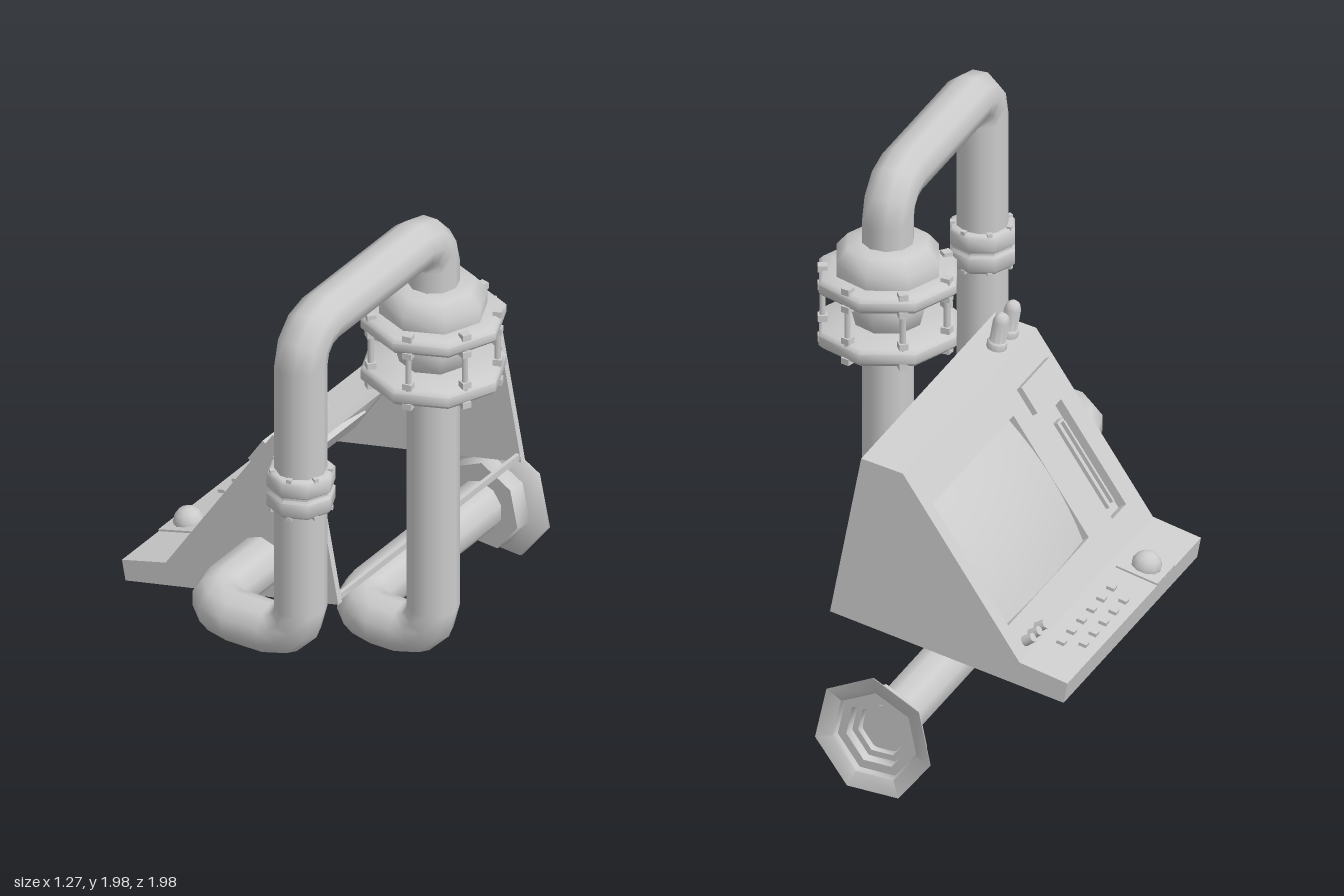
import * as THREE from 'three';
import { toCreasedNormals } from 'three/addons/utils/BufferGeometryUtils.js';

const grey = new THREE.MeshStandardMaterial({ color: 0xcccccc });
const thin = new THREE.MeshStandardMaterial({ color: 0xcccccc, side: THREE.DoubleSide });
const V = (x, y, z) => new THREE.Vector3(x, y, z);

function add(parent, name, geo, x = 0, y = 0, z = 0, mat = grey) {
  const mesh = new THREE.Mesh(geo, mat);
  mesh.name = name;
  mesh.position.set(x, y, z);
  parent.add(mesh);
  return mesh;
}

const box = (w, h, d) => new THREE.BoxGeometry(w, h, d);

// Turned part from [radius, height] pairs, bottom to top
function turned(profile, sides) {
  const pts = profile.map(([r, y]) => new THREE.Vector2(r, y));
  return toCreasedNormals(new THREE.LatheGeometry(pts, sides), 1.0);
}

// Straight runs joined by short rounded elbows, sampled only where the pipe bends
class PipePath extends THREE.Curve {
  constructor(corners, bend, steps) {
    super();
    this.pts = [];
    this.tans = [];
    const dir = i => corners[i + 1].clone().sub(corners[i]).normalize();
    const last = corners.length - 1;
    this.push(corners[0], dir(0));
    for (let i = 1; i < last; i++) {
      const a = dir(i - 1), b = dir(i);
      for (let k = 0; k <= steps; k++) {
        const t = (k / steps) * Math.PI / 2;
        const p = corners[i].clone()
          .addScaledVector(a, bend * (Math.sin(t) - 1))
          .addScaledVector(b, bend * (1 - Math.cos(t)));
        this.push(p, a.clone().multiplyScalar(Math.cos(t)).addScaledVector(b, Math.sin(t)));
      }
    }
    this.push(corners[last], dir(last - 1));
  }
  push(p, t) { this.pts.push(p.clone()); this.tans.push(t.clone().normalize()); }
  at(list, t, out) { return out.copy(list[Math.round(t * (list.length - 1))]); }
  getPoint(t, out = V(0, 0, 0)) { return this.at(this.pts, t, out); }
  getPointAt(t, out = V(0, 0, 0)) { return this.at(this.pts, t, out); }
  getTangentAt(t, out = V(0, 0, 0)) { return this.at(this.tans, t, out); }
}

const Z0 = -0.73, Z1 = 0.49; // console ends

// Plate from profile point a to b; local x runs a to b, local y points outward
function deck(parent, name, a, b, thickness, holes = []) {
  const group = new THREE.Group();
  group.name = name;
  group.position.set(a[0], a[1], 0);
  group.rotation.z = Math.atan2(b[1] - a[1], b[0] - a[0]);
  const rect = (S, x0, x1, z0, z1) => new S().moveTo(x0, z0).lineTo(x1, z0).lineTo(x1, z1).lineTo(x0, z1).closePath();
  const shape = rect(THREE.Shape, 0, Math.hypot(b[0] - a[0], b[1] - a[1]), Z0 + 0.005, Z1 - 0.005);
  for (const h of holes) shape.holes.push(rect(THREE.Path, ...h));
  const geo = new THREE.ExtrudeGeometry(shape, { depth: thickness, bevelEnabled: false });
  add(group, name + 'Plate', geo.rotateX(Math.PI / 2));
  parent.add(group);
  return group;
}

function buildConsole() {
  const console_ = new THREE.Group();
  console_.name = 'console';
  const foot = [-0.62, 0.39], lip = [-0.635, 0.47], knee = [-0.45, 0.517];
  const brow = [0, 1.182], top = [0.16, 1.21], heel = [0.28, 0.575];

  // Side walls; the back and the underside stay open
  const side = new THREE.Shape([foot, heel, top, brow, knee, lip].map(p => new THREE.Vector2(...p)));
  const wall = new THREE.ExtrudeGeometry(side, { depth: 0.025, bevelEnabled: false });
  add(console_, 'sideWall', wall, 0, 0, Z0);
  add(console_, 'sideWall', wall, 0, 0, Z1 - 0.025);
  add(console_, 'backRail', box(0.015, 0.025, Z1 - Z0 - 0.02), 0.266, 0.594, (Z0 + Z1) / 2);

  deck(console_, 'frontLip', foot, lip, 0.02);

  // Key deck with two staggered rows and a trackball
  const keys = deck(console_, 'keyDeck', lip, knee, 0.02);
  for (let i = 0; i < 5; i++) add(keys, 'key', box(0.03, 0.025, 0.03), 0.055, 0, -0.457 + i * 0.091);
  for (let i = 0; i < 6; i++) add(keys, 'key', box(0.03, 0.025, 0.03), 0.123, 0, -0.503 + i * 0.091);
  add(keys, 'trackballBase', box(0.165, 0.035, 0.16), 0.083, -0.01, 0.17);
  add(keys, 'trackball', new THREE.SphereGeometry(0.057, 10, 7), 0.08, 0.008, 0.17);

  // Sloped face with screen opening and card slot
  const u0 = 0.125, u1 = 0.643, s0 = -0.667, s1 = 0.07;
  const face = deck(console_, 'screenFace', knee, brow, 0.035, [
    [u0, u1, s0, s1], [0.107, 0.553, 0.26, 0.385]]);
  const glass = new THREE.PlaneGeometry(u1 - u0, s1 - s0, 8, 8).rotateX(-Math.PI / 2);
  const p = glass.attributes.position;
  for (let i = 0; i < p.count; i++) {
    const a = p.getX(i) / ((u1 - u0) / 2), b = p.getZ(i) / ((s1 - s0) / 2);
    p.setY(i, 0.024 - 0.027 * a * a - 0.025 * b * b);
  }
  glass.computeVertexNormals();
  add(face, 'screenGlass', glass, (u0 + u1) / 2, 0, (s0 + s1) / 2, thin);
  add(face, 'slotFloor', box(0.446, 0.02, 0.135), 0.33, -0.045, 0.3225);
  add(face, 'slotRidge', box(0.36, 0.03, 0.05), 0.32, -0.025, 0.3225);
  add(face, 'slotBlade', box(0.34, 0.02, 0.012), 0.32, -0.005, 0.3225);
  add(face, 'displayBar', box(0.11, 0.045, 0.26), 0.645, 0, 0.305);
  for (let i = 0; i < 3; i++) {
    const button = new THREE.CylinderGeometry(0.018, 0.021, 0.05, 8);
    add(face, 'button', button, 0.04, 0.015, -0.63 + i * 0.057);
  }

  // Top with two capsule lamps
  const roof = deck(console_, 'roof', brow, top, 0.025);
  const lamp = turned([[0.037, 0], [0.037, 0.025], [0.03, 0.03], [0.03, 0.11],
    [0.024, 0.13], [0.012, 0.14], [0, 0.142]], 10);
  for (const z of [0.278, 0.383]) add(roof, 'lamp', lamp, 0.065, 0, z);
  return console_;
}

// Things spaced evenly around a vertical axis
function around(parent, name, count, radius, start, geo, y) {
  for (let i = 0; i < count; i++) {
    const a = start + (i / count) * Math.PI * 2;
    add(parent, name, geo, Math.cos(a) * radius, y, Math.sin(a) * radius).rotation.y = -a;
  }
}

function buildValve() {
  const valve = new THREE.Group();
  valve.name = 'valve';
  valve.position.set(0.365, 0, 0);
  add(valve, 'upperRing', turned([[0.09, 1.52], [0.25, 1.52], [0.265, 1.535], [0.265, 1.565],
    [0.25, 1.58], [0.197, 1.585], [0.197, 1.64], [0.155, 1.69], [0.09, 1.695]], 8));
  add(valve, 'lowerRing', turned([[0.09, 1.25], [0.125, 1.25], [0.125, 1.31], [0.25, 1.31],
    [0.265, 1.325], [0.265, 1.36], [0.25, 1.375], [0.09, 1.38]], 8));
  add(valve, 'core', new THREE.SphereGeometry(0.143, 8, 6), 0, 1.45, 0);
  const nut = box(0.034, 0.024, 0.034);
  const start = 0.49;
  around(valve, 'tieRod', 7, 0.232, start, new THREE.CylinderGeometry(0.012, 0.012, 0.28, 6), 1.45);
  for (const y of [1.308, 1.388, 1.515, 1.585]) around(valve, 'nut', 7, 0.232, start, nut, y);
  return valve;
}

function buildCoupling() {
  const coupling = new THREE.Group();
  coupling.name = 'coupling';
  coupling.position.set(0.365, 0, 0.865);
  add(coupling, 'couplingRings', turned([[0.09, 1.2], [0.115, 1.2], [0.125, 1.212], [0.125, 1.262],
    [0.113, 1.272], [0.113, 1.28], [0.125, 1.29], [0.125, 1.34], [0.115, 1.352], [0.09, 1.352]], 8));
  for (const y of [1.198, 1.353]) around(coupling, 'bolt', 7, 0.107, 0.49, box(0.018, 0.014, 0.018), y);
  return coupling;
}

export function createModel() {
  const model = new THREE.Group();
  model.name = 'periscopeConsole';
  model.add(buildConsole());

  // One continuous pipe from the console wall to the end flange
  const path = new PipePath([
    V(-0.045, 0.655, 0.44), V(-0.045, 0.655, 0.865), V(0.365, 0.655, 0.865),
    V(0.365, 1.905, 0.865), V(0.365, 1.905, 0), V(0.365, 0.235, 0),
    V(0.005, 0.235, 0), V(0.005, 0.235, -0.89)], 0.13, 3);
  add(model, 'pipe', new THREE.TubeGeometry(path, path.pts.length - 1, 0.095, 10, false), 0, 0, 0, thin);
  add(model, 'pipeCap', new THREE.CircleGeometry(0.094, 10), -0.045, 0.655, 0.445, thin);

  model.add(buildValve(), buildCoupling());

  // Seven-sided end flange, slightly tilted
  const flange = turned([[0.08, 0], [0.17, 0], [0.175, 0.065], [0.235, 0.09], [0.24, 0.1],
    [0.175, 0.085], [0.165, 0.065], [0.13, 0.065], [0.125, 0.03], [0.1, 0.03], [0.095, 0.01], [0, 0.01]], 7);
  add(model, 'endFlange', flange.rotateX(-Math.PI / 2), 0.005, 0.235, -0.868, thin).rotation.y = -0.107;
  return model;
}
